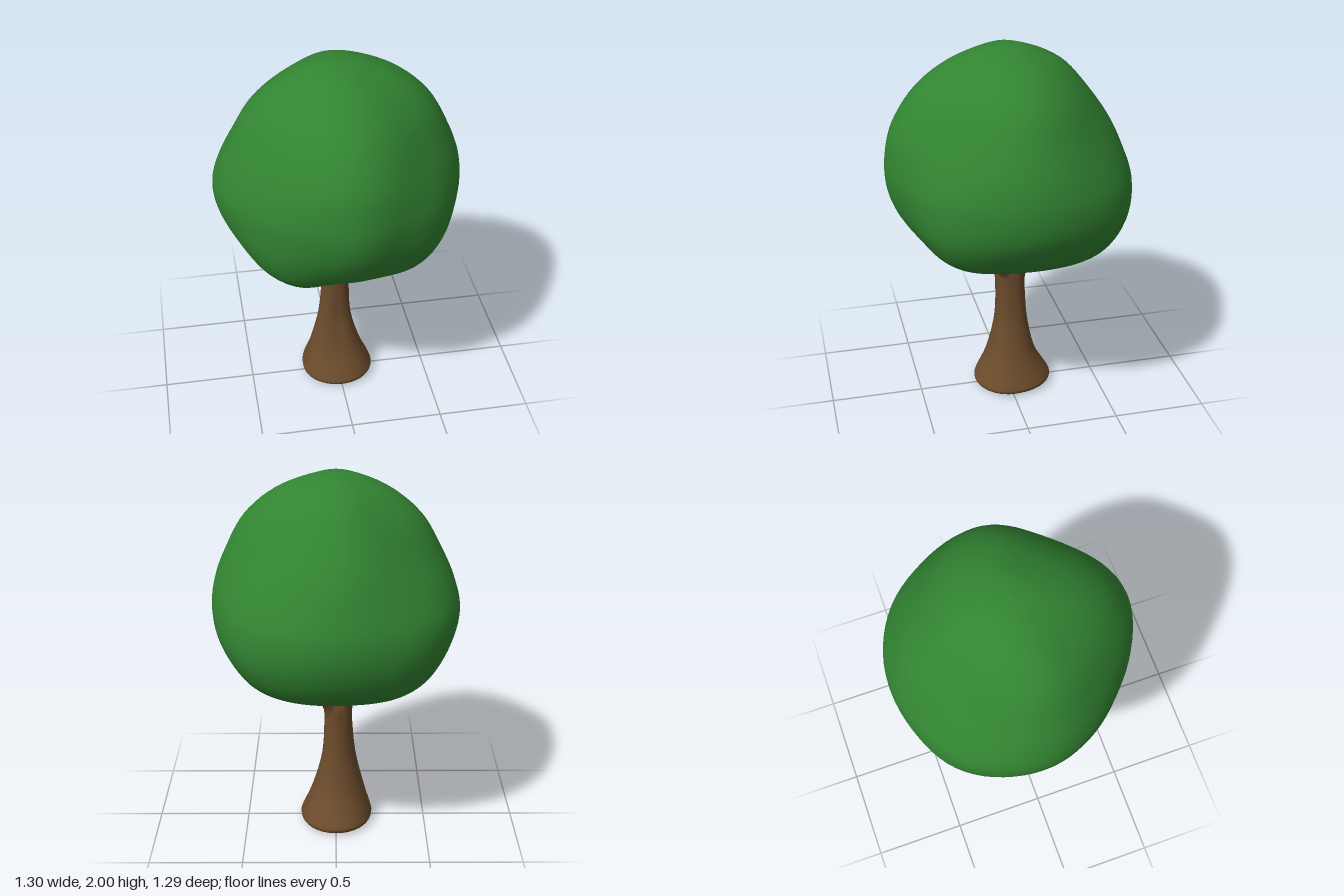
import * as THREE from 'three';
import { mergeVertices } from 'three/addons/utils/BufferGeometryUtils.js';

const leafMat = new THREE.MeshStandardMaterial({ color: 0x328432 });
const barkMat = new THREE.MeshStandardMaterial({ color: 0x6c4c2c });
const { lerp, clamp, smoothstep } = THREE.MathUtils;

const catmull = (a, b, c, d, t) =>
  0.5 * (2 * b + (c - a) * t + (2 * a - 5 * b + 4 * c - d) * t * t + (3 * b - a - 3 * c + d) * t * t * t);

// Smooth value around a closed table, turn = 0..1
function around(table, turn) {
  const n = table.length, k = Math.floor(turn * n);
  const at = (i) => table[(i + n) % n];
  return catmull(at(k - 1), at(k), at(k + 1), at(k + 2), turn * n - k);
}

// Smooth closed loft. Each ring: [y, reach -x, reach +x, reach -z, reach +z], top to bottom.
// shape(angle, t) returns [radius factor, y shift].
function loft(rings, sides, steps, shape = () => [1, 0]) {
  const pos = [], idx = [];
  const last = rings.length - 1, rows = last * steps;
  for (let i = 0; i <= rows; i++) {
    const k = Math.min(Math.floor(i / steps), last - 1), f = i / steps - k;
    const at = (n) => rings[clamp(n, 0, last)];
    const [y, l, r, b, fr] = rings[0].map((_, n) =>
      Math.max(0, catmull(at(k - 1)[n], at(k)[n], at(k + 1)[n], at(k + 2)[n], f)));
    for (let j = 0; j < sides; j++) {
      const a = (j / sides) * Math.PI * 2, c = Math.cos(a), s = Math.sin(a);
      const [factor, dy] = shape(a, i / rows);
      const radius = ((c > 0 ? r : l) * c * c + (s > 0 ? fr : b) * s * s) * factor;
      pos.push(c * radius, y + dy, s * radius);
      if (i < rows) {
        const p = i * sides + j, q = i * sides + ((j + 1) % sides);
        idx.push(p, q, p + sides, q, q + sides, p + sides);
      }
    }
  }
  let g = new THREE.BufferGeometry();
  g.setAttribute('position', new THREE.Float32BufferAttribute(pos, 3));
  g.setIndex(idx);
  g = mergeVertices(g, 1e-4);
  g.computeVertexNormals();
  return g;
}

// Tube along a curve that thins from r0 to r1
function taperedTube(points, r0, r1) {
  const curve = new THREE.CatmullRomCurve3(points.map((p) => new THREE.Vector3(...p)));
  const segs = 16, sides = 14;
  const g = new THREE.TubeGeometry(curve, segs, r0, sides);
  const p = g.attributes.position, v = new THREE.Vector3();
  for (let i = 0; i < p.count; i++) {
    const t = Math.floor(i / (sides + 1)) / segs;
    const centre = curve.getPointAt(t);
    v.fromBufferAttribute(p, i).sub(centre).multiplyScalar(lerp(r0, r1, t) / r0).add(centre);
    p.setXYZ(i, v.x, v.y, v.z);
  }
  g.computeVertexNormals();
  return g;
}

export function createModel() {
  const tree = new THREE.Group();
  tree.name = 'tree';
  const add = (name, geometry, material) => {
    const mesh = new THREE.Mesh(geometry, material);
    mesh.name = name;
    tree.add(mesh);
  };

  // Leafy crown: lumpy dome, four lobes low on the diagonals, hollow underside
  const crown = [
    [2.0, 0, 0, 0, 0],
    [1.98, 0.13, 0.14, 0.13, 0.14],
    [1.9, 0.30, 0.33, 0.29, 0.33],
    [1.77, 0.45, 0.48, 0.41, 0.49],
    [1.6, 0.55, 0.575, 0.53, 0.60],
    [1.45, 0.62, 0.635, 0.60, 0.64],
    [1.3, 0.655, 0.655, 0.645, 0.645],
    [1.15, 0.62, 0.625, 0.635, 0.60],
    [1.0, 0.53, 0.53, 0.57, 0.50],
    [0.91, 0.42, 0.43, 0.48, 0.39],
    [0.87, 0.31, 0.30, 0.36, 0.29],
    [0.88, 0.19, 0.19, 0.22, 0.18],
    [0.90, 0, 0, 0, 0],
  ];
  // Outline at the widest level, every 22.5 degrees from +x towards +z
  const girth = [0.99, 0.96, 0.97, 0.955, 0.995, 0.945, 0.915, 0.94,
    0.99, 1.01, 1.01, 0.99, 1, 1.02, 1.035, 1.01];
  // Upper fullness, lobe fullness and lobe sag on the diagonals (+x+z, -x+z, -x-z, +x-z)
  const upper = [-0.11, -0.09, -0.10, -0.05];
  const lobes = [0.09, 0.10, 0.07, 0.05];
  const sag = [0, -0.055, 0, 0.01];
  add('crown', loft(crown, 80, 5, (a, t) => {
    const quarter = Math.min(3, Math.floor(a / (Math.PI / 2)));
    const s2 = Math.sin(2 * a) ** 2;
    const outline = lerp(1 + upper[quarter] * s2, around(girth, a / (2 * Math.PI)), smoothstep(t, 0.28, 0.55));
    const low = smoothstep(t, 0.55, 0.8) * (1 - smoothstep(t, 0.85, 1));
    return [outline + lobes[quarter] * s2 * smoothstep(t, 0.5, 0.7), low * lerp(0.01, sag[quarter], s2)];
  }), leafMat);

  // Trunk with a flared, rounded foot
  const trunk = [
    [0.79, 0, 0, 0, 0],
    [0.78, 0.045, 0.035, 0.045, 0.035],
    [0.75, 0.08, 0.06, 0.085, 0.06],
    [0.7, 0.09, 0.066, 0.10, 0.067],
    [0.6, 0.09, 0.064, 0.10, 0.06],
    [0.4, 0.11, 0.077, 0.115, 0.06],
    [0.2, 0.157, 0.13, 0.16, 0.107],
    [0.06, 0.197, 0.188, 0.237, 0.177],
    [0.03, 0.202, 0.197, 0.245, 0.187],
    [0.012, 0.19, 0.185, 0.23, 0.175],
    [0.006, 0.15, 0.15, 0.18, 0.14],
    [0, 0, 0, 0, 0],
  ];
  add('trunk', loft(trunk, 40, 5), barkMat);

  // Four boughs forking up into the crown
  const tips = [
    ['frontLeftBough', 0.20, 0.18],
    ['backLeftBough', 0.21, -0.23],
    ['backRightBough', -0.20, -0.21],
    ['frontRightBough', -0.18, 0.17],
  ];
  for (const [name, x, z] of tips) {
    add(name, taperedTube([
      [-0.013 + x * 0.06, 0.56, -0.02 + z * 0.06],
      [-0.01 + x * 0.2, 0.73, -0.015 + z * 0.2],
      [x * 0.58, 0.83, z * 0.58],
      [x, 0.93, z],
    ], 0.055, 0.022), barkMat);
  }
  return tree;
}
